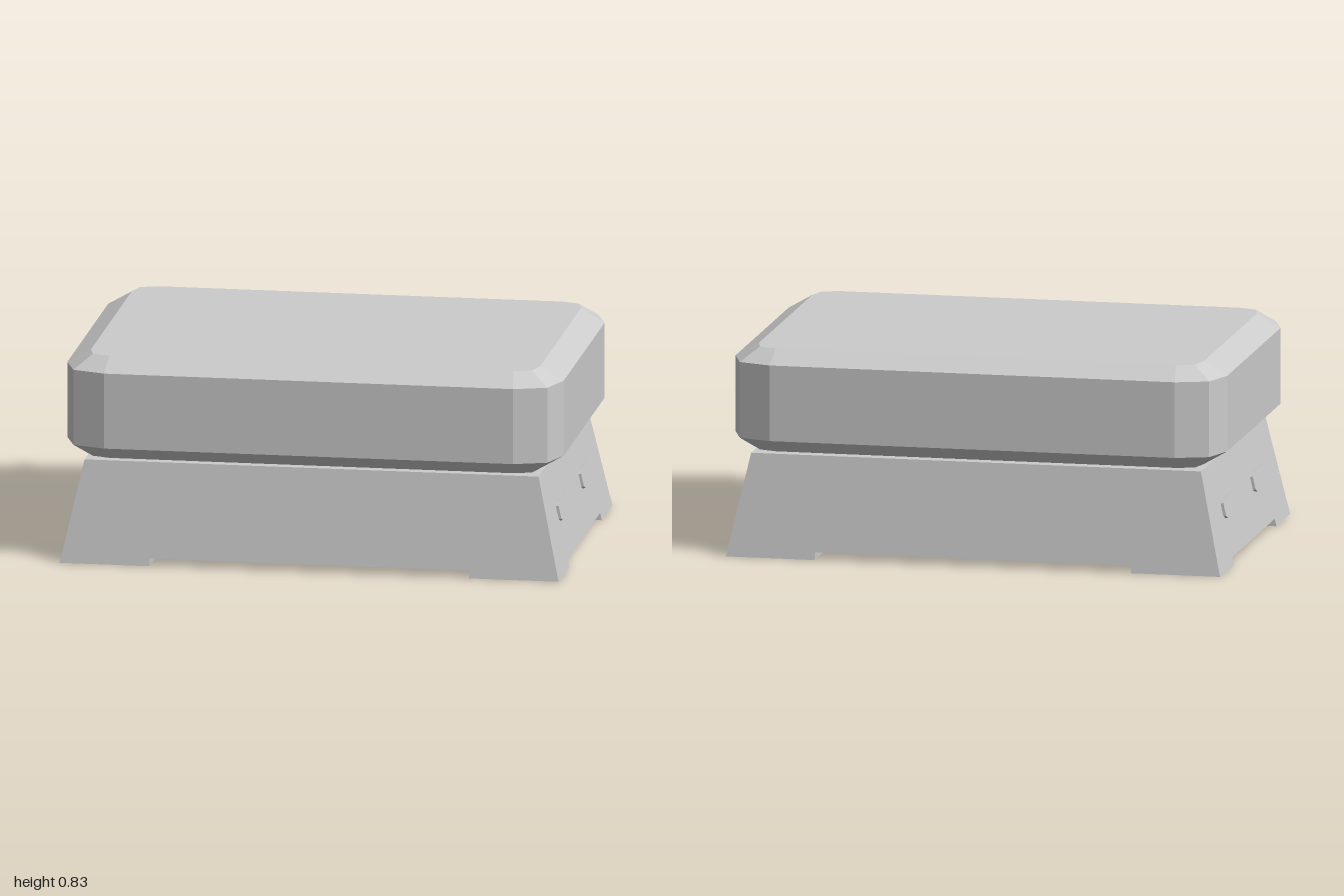
import * as THREE from 'three';

const material = new THREE.MeshStandardMaterial({ color: 0xcccccc, flatShading: true });

// Closed solid from horizontal rings listed bottom to top; each ring is
// { y, pts: [[x, z], ...] } running counterclockwise seen from above.
function loft(name, rings) {
  const n = rings[0].pts.length;
  const pos = rings.flatMap(({ y, pts }) => pts.flatMap(([x, z]) => [x, y, z]));
  const index = [];
  for (let r = 0; r < rings.length - 1; r++) {
    for (let i = 0; i < n; i++) {
      const a = r * n + i, b = r * n + (i + 1) % n;
      index.push(a, b, b + n, a, b + n, a + n);
    }
  }
  const top = (rings.length - 1) * n;
  for (let i = 1; i < n - 1; i++) {
    index.push(0, i + 1, i);
    index.push(top, top + i, top + i + 1);
  }
  const indexed = new THREE.BufferGeometry();
  indexed.setAttribute('position', new THREE.Float32BufferAttribute(pos, 3));
  indexed.setIndex(index);
  const geometry = indexed.toNonIndexed();
  geometry.computeVertexNormals();
  const mesh = new THREE.Mesh(geometry, material);
  mesh.name = name;
  return mesh;
}

// Mirrors the points of one corner (+x, +z) into a full ring
function mirrorRing(y, corner) {
  const back = [...corner].reverse();
  const pts = [
    ...corner,
    ...back.map(([x, z]) => [x, -z]),
    ...corner.map(([x, z]) => [-x, -z]),
    ...back.map(([x, z]) => [-x, z]),
  ];
  return { y, pts };
}

// Half width and half depth of the tapered base at height y
const BASE_TOP = 0.41;
const halfX = (y) => 1 - 0.09 * y / BASE_TOP;
const halfZ = (y) => 0.66 - 0.06 * y / BASE_TOP;

export function createModel() {
  const model = new THREE.Group();
  model.name = 'cushionedFootstool';

  // Tapered base
  const footHeight = 0.03;
  model.add(loft('base', [footHeight, BASE_TOP].map((y) => mirrorRing(y, [[halfX(y), halfZ(y)]]))));

  // Corner feet, continuing the slope of the base
  for (const sx of [-1, 1]) {
    for (const sz of [-1, 1]) {
      const rings = [0, footHeight].map((y) => {
        const pts = [[0.64, 0.4], [halfX(y), 0.4], [halfX(y), halfZ(y)], [0.64, halfZ(y)]]
          .map(([x, z]) => [sx * x, sz * z]);
        return { y, pts: sx * sz > 0 ? pts.reverse() : pts };
      });
      model.add(loft('foot', rings));
    }
  }

  // Cushion with cut corners and bevelled top and bottom
  const outer = [[0.82, 0.675], [0.95, 0.63], [0.995, 0.5]];
  const inner = [[0.81, 0.6], [0.88, 0.575], [0.9, 0.5]];
  model.add(loft('cushion', [
    mirrorRing(0.42, inner),
    mirrorRing(0.475, outer),
    mirrorRing(0.78, outer),
    mirrorRing(0.835, inner),
  ]));

  // Two raised grips on each sloping end
  const w = 0.122, h = 0.0385, cx = 0.025, cy = 0.012;
  const outline = new THREE.Shape([
    [w - cx, -h], [w, -h + cy], [w, h - cy], [w - cx, h],
    [-w + cx, h], [-w, h - cy], [-w, -h + cy], [-w + cx, -h],
  ].map(([x, y]) => new THREE.Vector2(x, y)));
  const gripGeometry = new THREE.ExtrudeGeometry(outline, { depth: 0.02, bevelEnabled: false });
  gripGeometry.translate(0, 0, -0.009);
  const tilt = Math.atan(0.09 / BASE_TOP);
  const gripY = 0.2175;
  for (const sx of [-1, 1]) {
    for (const sz of [-1, 1]) {
      const grip = new THREE.Mesh(gripGeometry, material);
      grip.name = 'sideGrip';
      grip.position.set(sx * halfX(gripY), gripY, sz * 0.277);
      grip.rotation.set(-tilt, sx * Math.PI / 2, 0, 'YXZ');
      model.add(grip);
    }
  }

  return model;
}
